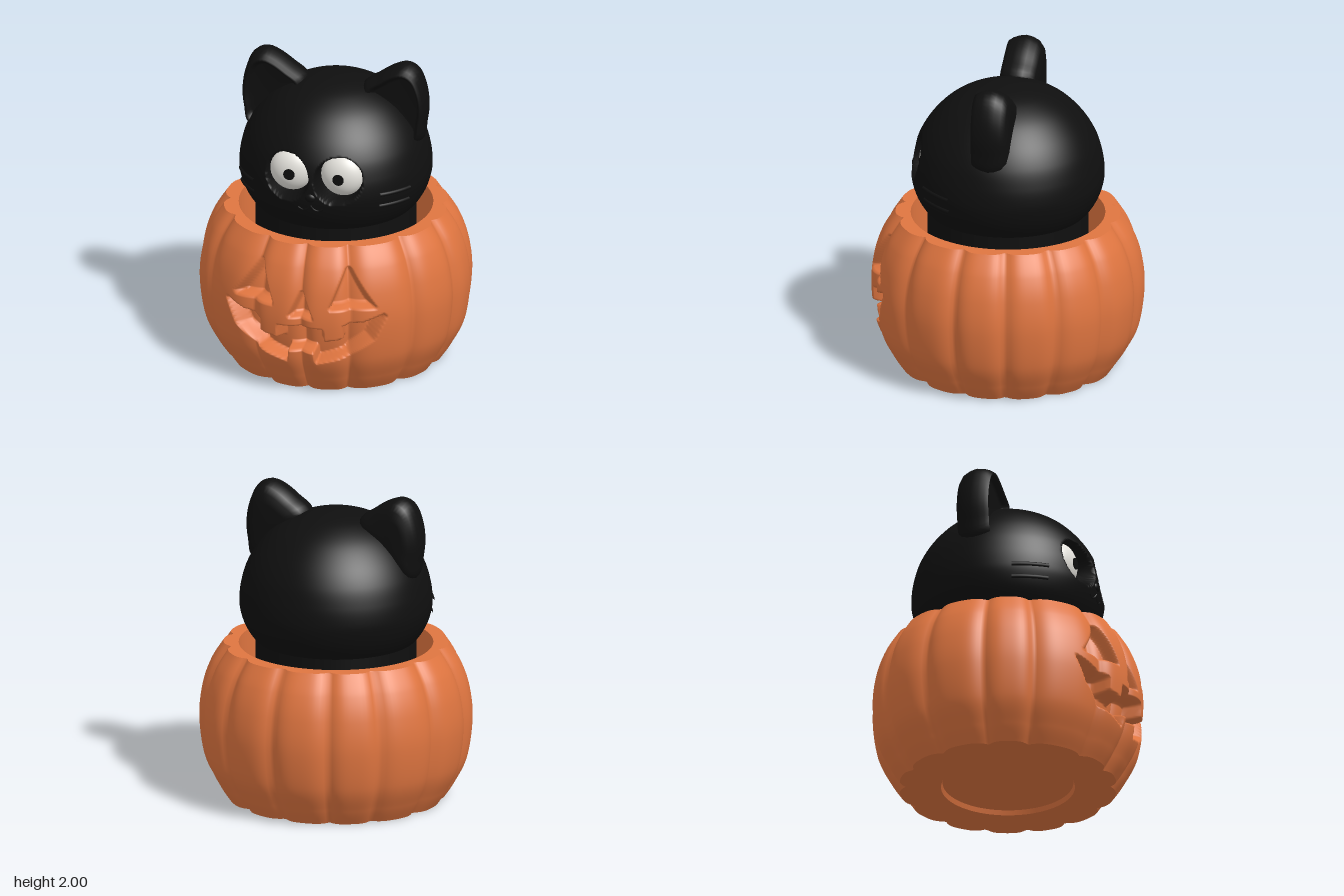
import * as THREE from 'three';
import { mergeVertices } from 'three/addons/utils/BufferGeometryUtils.js';

const { smoothstep, clamp, lerp } = THREE.MathUtils;
const V2 = (a) => a.map(([x, y]) => new THREE.Vector2(x, y));
const V3 = (a) => a.map(([x, y, z]) => new THREE.Vector3(x, y, z));
const mirrorX = (a) => a.map(([x, y]) => [-x, y]);

// Smooth curve through profile points, evenly sampled
const smoothProfile = (pts, n) => new THREE.SplineCurve(V2(pts)).getSpacedPoints(n);

// Revolved surface with columns packed towards the front, then moved by a rule
function revolve(points, segments, move, flat = false) {
  let g = new THREE.LatheGeometry(points, segments, Math.PI);
  g.deleteAttribute('uv');
  g.deleteAttribute('normal');
  const p = g.attributes.position, v = new THREE.Vector3();
  for (let i = 0; i < p.count; i++) {
    v.fromBufferAttribute(p, i);
    const r = Math.hypot(v.x, v.z), t = Math.atan2(v.x, v.z);
    const phi = t - 0.6 * Math.sin(t);
    v.set(r * Math.sin(phi), v.y, r * Math.cos(phi));
    move(v, r, phi);
    p.setXYZ(i, v.x, v.y, v.z);
  }
  g = flat ? g.toNonIndexed() : mergeVertices(g, 1e-5);
  g.computeVertexNormals();
  return g;
}

// Signed distance to a polygon, negative inside
function polygonDistance(poly, x, y) {
  let best = Infinity, inside = false;
  for (let i = 0, j = poly.length - 1; i < poly.length; j = i++) {
    const [ax, ay] = poly[i], [bx, by] = poly[j];
    const ex = bx - ax, ey = by - ay;
    const t = clamp(((x - ax) * ex + (y - ay) * ey) / (ex * ex + ey * ey), 0, 1);
    best = Math.min(best, Math.hypot(x - ax - ex * t, y - ay - ey * t));
    if ((ay > y) !== (by > y) && x < ax + (ex * (y - ay)) / ey) inside = !inside;
  }
  return inside ? -best : best;
}

// Carved face outlines, with carving depth
const eyeCut = [[0.19, 0.625], [0.455, 0.625], [0.3, 0.86], [0.28, 0.86]];
const carvings = [
  [eyeCut, 0.09],
  [mirrorX(eyeCut), 0.09],
  [[[-0.075, 0.555], [0.075, 0.555], [0.005, 0.705], [-0.005, 0.705]], 0.07],
  [[[-0.51, 0.565], [-0.4, 0.52], [-0.28, 0.5], [-0.28, 0.41], [-0.15, 0.39], [-0.14, 0.48],
    [0.14, 0.48], [0.15, 0.39], [0.28, 0.41], [0.28, 0.5], [0.4, 0.52], [0.51, 0.565],
    [0.44, 0.41], [0.3, 0.3], [0.1, 0.245], [0.09, 0.32], [-0.09, 0.32], [-0.1, 0.245],
    [-0.3, 0.3], [-0.44, 0.41]], 0.12],
];

// Pumpkin groove angles in degrees from the front
const grooves = [-183, -157, -134, -106, -78, -56, -23, 0, 22, 52, 79, 102, 125, 150, 177, 203];
function grooveDepth(phi) {
  const a = (phi * 180) / Math.PI;
  let k = 0;
  while (k < grooves.length - 2 && a > grooves[k + 1]) k++;
  const t = (a - grooves[k]) / (grooves[k + 1] - grooves[k]);
  return 0.045 * (1 - Math.sin(Math.PI * clamp(t, 0, 1))) ** 2;
}

function shapePumpkin(v, r, phi) {
  if (r < 0.61) return;
  let cut = grooveDepth(phi) * clamp((r - 0.612) / 0.06, 0, 1);
  if (v.z > 0.4 && Math.abs(v.x) < 0.6 && v.y > 0.2 && v.y < 0.9) {
    for (const [poly, depth] of carvings) {
      cut += depth * (1 - smoothstep(polygonDistance(poly, v.x, v.y), -0.014, 0.012));
    }
  }
  v.x -= Math.sin(phi) * cut;
  v.z -= Math.cos(phi) * cut;
}

// Sunken eye sockets in the head
const EYE = { x: 0.165, y: 1.385, r: 0.135 };
function shapeHead(v) {
  if (v.z < 0) return;
  const d = Math.hypot(Math.abs(v.x) - EYE.x, v.y - EYE.y);
  v.z = lerp(v.z, 0.42, 1 - smoothstep(d, EYE.r - 0.004, EYE.r + 0.014));
}

// Ear lofted from scaled outlines, with a hollow front
function earGeometry(side) {
  const outline = [[0.56, 1.48], [0.59, 1.6], [0.602, 1.72], [0.58, 1.86], [0.53, 1.965], [0.46, 2.0],
    [0.38, 1.975], [0.28, 1.91], [0.18, 1.825], [0.26, 1.66], [0.4, 1.5]];
  const curve = new THREE.CatmullRomCurve3(V3(outline.map(([x, y]) => [x * side, y, 0])), true);
  let ring = curve.getSpacedPoints(56).slice(0, 56);
  if (side < 0) ring = ring.reverse();
  const cx = 0.43 * side, cy = 1.73;
  const layers = [[0.001, -0.125], [0.5, -0.125], [0.75, -0.115], [0.9, -0.085], [0.97, -0.045], [1, -0.005],
    [0.97, 0.04], [0.91, 0.08], [0.84, 0.105], [0.77, 0.1], [0.71, 0.075], [0.65, 0.062], [0.001, 0.06]];
  const pos = [], index = [], n = ring.length;
  for (const [s, z] of layers) {
    for (const p of ring) pos.push(cx + (p.x - cx) * s, cy + (p.y - cy) * s, z);
  }
  for (let k = 0; k < layers.length - 1; k++) {
    for (let i = 0; i < n; i++) {
      const a = k * n + i, b = k * n + ((i + 1) % n);
      index.push(a, b, b + n, a, b + n, a + n);
    }
  }
  const g = new THREE.BufferGeometry();
  g.setAttribute('position', new THREE.Float32BufferAttribute(pos, 3));
  g.setIndex(index);
  g.computeVertexNormals();
  return g;
}

export function createModel() {
  const model = new THREE.Group();
  const material = (name, color) => {
    const m = new THREE.MeshStandardMaterial({ color });
    m.name = name;
    return m;
  };
  const orange = material('pumpkin orange', 0xdf7540);
  const black = material('cat black', 0x0f0f0f);
  const white = material('eye white', 0xe6e4de);
  const add = (name, geometry, mat, parent = model) => {
    const mesh = new THREE.Mesh(geometry, mat);
    mesh.name = name;
    parent.add(mesh);
    return mesh;
  };

  // Pumpkin: ribbed carved wall, rim with cavity, recessed base
  const pumpkin = new THREE.Group();
  pumpkin.name = 'pumpkin';
  model.add(pumpkin);
  const wall = smoothProfile([[0.685, 0], [0.75, 0.1], [0.825, 0.26], [0.857, 0.5], [0.838, 0.7],
    [0.785, 0.86], [0.705, 0.99]], 108);
  add('pumpkinWall', revolve(wall, 300, shapePumpkin), orange, pumpkin);
  add('pumpkinRim', revolve(V2([[0.705, 0.99], [0.61, 0.99], [0.6, 0.12], [0, 0.12]]), 300, shapePumpkin, true),
    orange, pumpkin);
  add('pumpkinBase', revolve(V2([[0, 0.03], [0.41, 0.03], [0.42, 0], [0.685, 0]]), 300, shapePumpkin, true),
    orange, pumpkin);

  // Cat: neck and head
  const cat = new THREE.Group();
  cat.name = 'cat';
  model.add(cat);
  add('neck', new THREE.CylinderGeometry(0.505, 0.505, 0.92, 96), black, cat).position.y = 0.58;
  const head = smoothProfile([[0.49, 1.01], [0.535, 1.06], [0.575, 1.13], [0.6, 1.21], [0.606, 1.28],
    [0.595, 1.38], [0.56, 1.5], [0.49, 1.62], [0.385, 1.73], [0.26, 1.805], [0.13, 1.845], [0, 1.857]], 105);
  add('head', revolve(head, 220, shapeHead), black, cat);

  const tube = (name, pts, radius) => add(name,
    new THREE.TubeGeometry(new THREE.CatmullRomCurve3(V3(pts)), 16, radius, 8), black, cat);
  for (const [label, side] of [['left', 1], ['right', -1]]) {
    add(label + 'Ear', earGeometry(side), black, cat);

    // Eye and pupil
    const eye = add(label + 'Eye', new THREE.SphereGeometry(1, 40, 24), white, cat);
    eye.scale.set(0.14, 0.14, 0.095);
    eye.position.set(side * EYE.x, EYE.y, 0.43);
    const pupil = add(label + 'Pupil', new THREE.CylinderGeometry(0.036, 0.036, 0.009, 32), black, cat);
    pupil.rotation.x = Math.PI / 2;
    pupil.position.set(side * 0.16, 1.382, 0.525);

    // Whiskers wrapped around the cheek
    for (const [y, r] of [[1.27, 0.604], [1.19, 0.594]]) {
      const pts = [0.74, 0.84, 0.94, 1.04, 1.14].map((a, i) =>
        [side * r * Math.sin(a), y + 0.003 * (2 - i), r * Math.cos(a)]);
      tube(label + 'Whisker', pts, 0.014);
    }
    // Half of the curled mouth
    tube(label + 'Mouth', [[0, 1.222, 0.598], [side * 0.02, 1.195, 0.592], [side * 0.05, 1.185, 0.585],
      [side * 0.08, 1.2, 0.588]], 0.009);
  }
  const nose = add('nose', new THREE.SphereGeometry(1, 24, 16), black, cat);
  nose.scale.set(0.036, 0.03, 0.022);
  nose.position.set(0, 1.272, 0.596);

  return model;
}
